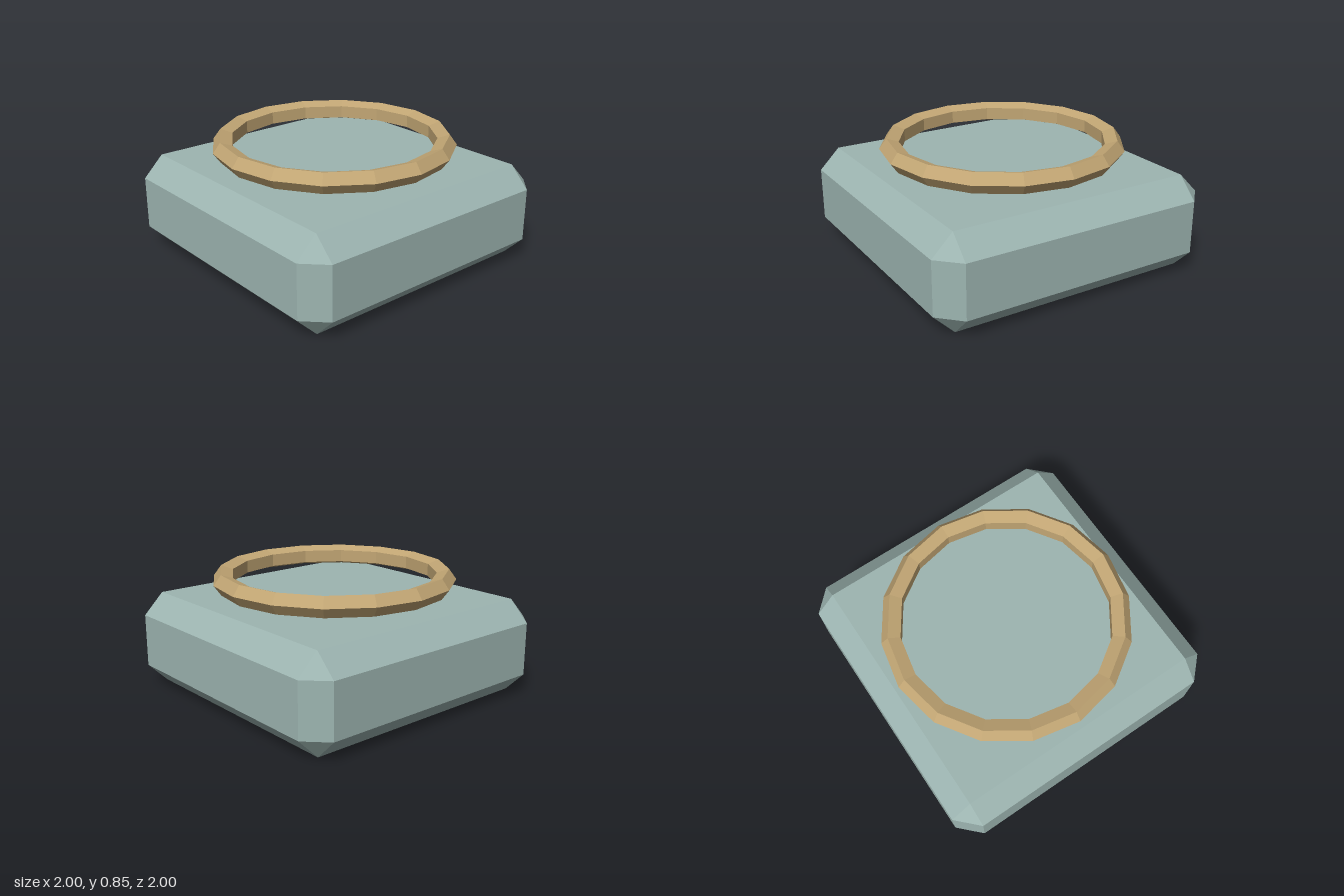
import * as THREE from 'three';
import { ConvexGeometry } from 'three/addons/geometries/ConvexGeometry.js';

const stone = new THREE.MeshStandardMaterial({ color: 0x9db5b1, flatShading: true });
stone.name = 'grey green stone';
const brass = new THREE.MeshStandardMaterial({ color: 0xc2a674, flatShading: true });
brass.name = 'brass';

// Box with every edge and corner cut flat by c, centred on the origin
function chamferedBox(w, h, d, c) {
  const points = [];
  for (const sx of [-1, 1]) for (const sy of [-1, 1]) for (const sz of [-1, 1]) {
    const x = w / 2, y = h / 2, z = d / 2;
    points.push(
      new THREE.Vector3(sx * x, sy * (y - c), sz * (z - c)),
      new THREE.Vector3(sx * (x - c), sy * y, sz * (z - c)),
      new THREE.Vector3(sx * (x - c), sy * (y - c), sz * z),
    );
  }
  return new ConvexGeometry(points);
}

export function createModel() {
  const model = new THREE.Group();
  model.name = 'pedestalWithRing';

  // Chamfered square block
  const block = new THREE.Mesh(chamferedBox(2, 0.653, 2, 0.143), stone);
  block.name = 'block';
  block.position.y = 0.3265;
  model.add(block);

  // Faceted ring floating above the block: five-sided tube, sixteen segments
  const ring = new THREE.Mesh(new THREE.TorusGeometry(0.762, 0.0735, 5, 16), brass);
  ring.name = 'floatingRing';
  ring.rotation.x = Math.PI / 2;
  ring.position.y = 0.784;
  model.add(ring);

  return model;
}
